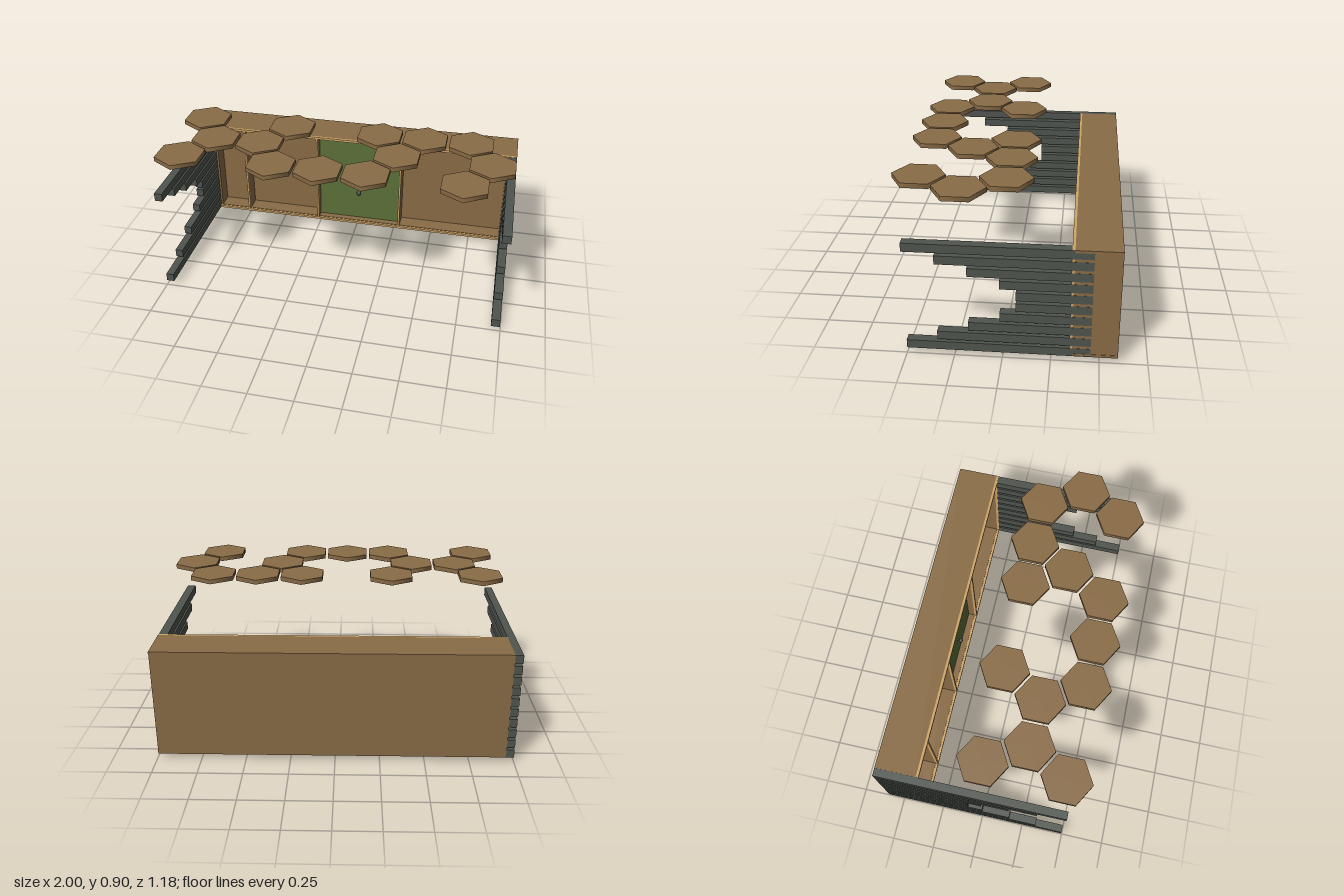
import * as THREE from 'three';

const mat = (name, color) => new THREE.MeshStandardMaterial({ name, color });

export function createModel() {
  const root = new THREE.Group();
  root.name = 'cabinetWithHexCanopy';
  const wood = mat('brown wood', 0x8a6c46);
  const trim = mat('light wood trim', 0xcfa566);
  const slat = mat('dark grey slat', 0x50554f);
  const green = mat('green door', 0x5c703a);
  const cream = mat('cream panel', 0xc8bc92);

  // Box given by its minimum and maximum corners
  const box = (parent, name, material, [x0, y0, z0], [x1, y1, z1]) => {
    const m = new THREE.Mesh(new THREE.BoxGeometry(x1 - x0, y1 - y0, z1 - z0), material);
    m.position.set((x0 + x1) / 2, (y0 + y1) / 2, (z0 + z1) / 2);
    m.name = name;
    parent.add(m);
    return m;
  };

  // Cabinet shell, open at the front
  const cabinet = new THREE.Group();
  cabinet.name = 'cabinet';
  root.add(cabinet);
  const L = -0.955, R = 0.995, B = 0.027, T = 0.652, back = -0.595, front = -0.36, lip = -0.345;
  box(cabinet, 'cabinetBack', wood, [L, B, back], [R, T - 0.01, back + 0.01]);
  box(cabinet, 'cabinetRearBody', wood, [L + 0.01, 0.036, back + 0.01], [0.945, T - 0.015, -0.455]);
  box(cabinet, 'cabinetTop', wood, [L, T - 0.015, back], [R + 0.002, T, front]);
  box(cabinet, 'cabinetFloor', wood, [L, 0.034, back + 0.005], [R + 0.002, 0.044, front]);
  box(cabinet, 'cabinetLeftWall', wood, [0.945, B, back], [R, T - 0.01, front]);
  box(cabinet, 'cabinetRightWall', wood, [L, B, back], [L + 0.012, T - 0.01, front]);

  // Light edging along the front
  box(cabinet, 'topEdge', trim, [L, T - 0.015, front], [R, T, lip]);
  box(cabinet, 'bottomEdge', trim, [L, B, front], [R, B + 0.014, lip]);
  box(cabinet, 'leftEdge', trim, [0.945, B, front], [R, T, lip]);

  // Dividers with edging
  for (const x of [-0.745, -0.26, 0.286]) {
    box(cabinet, 'divider', wood, [x - 0.006, 0.028, back + 0.01], [x + 0.006, T - 0.01, front]);
    box(cabinet, 'dividerEdge', trim, [x - 0.006, B, front], [x + 0.006, T, lip]);
  }

  // Door and its handle
  box(root, 'door', green, [-0.253, 0, -0.43], [0.284, 0.637, -0.40]);
  const handle = new THREE.Group();
  handle.name = 'doorHandle';
  handle.position.set(0.012, 0.25, -0.40);
  const stem = new THREE.Mesh(new THREE.CylinderGeometry(0.006, 0.006, 0.03, 10), slat);
  stem.rotation.x = Math.PI / 2;
  stem.position.z = 0.01;
  const knob = new THREE.Mesh(new THREE.SphereGeometry(0.015, 14, 10), slat);
  knob.scale.set(0.9, 1.25, 0.7);
  knob.position.z = 0.028;
  handle.add(stem, knob);
  root.add(handle);

  // Side slats, longest at top and bottom
  const reach = [0.5, 0.337, 0.175, 0.013, -0.07];
  for (let i = 0; i < 10; i++) {
    const y = 0.028 + i * 0.0638, z = reach[Math.min(i, 9 - i)];
    box(root, 'leftSlat', slat, [0.946, y, -0.455], [0.996, y + 0.048, z]);
    box(root, 'rightSlat', slat, [-1, y, back], [L, y + 0.048, z - 0.005]);
  }

  // Floating hexagon panels
  const rows = [
    [-0.002, [-0.835, -0.315, 0.205, 0.465, 0.727], wood],
    [0.2225, [-0.705, -0.445, 0.337, 0.858], cream],
    [0.447, [-0.835, -0.315, -0.055, 0.205, 0.727], cream],
  ];
  const hexGeometry = new THREE.CylinderGeometry(0.14, 0.14, 0.026, 6);
  for (const [z, xs, under] of rows) {
    for (const x of xs) {
      const hex = new THREE.Mesh(hexGeometry, [wood, wood, under]);
      hex.name = 'hexPanel';
      hex.position.set(x, 0.892, z);
      root.add(hex);
    }
  }
  return root;
}
